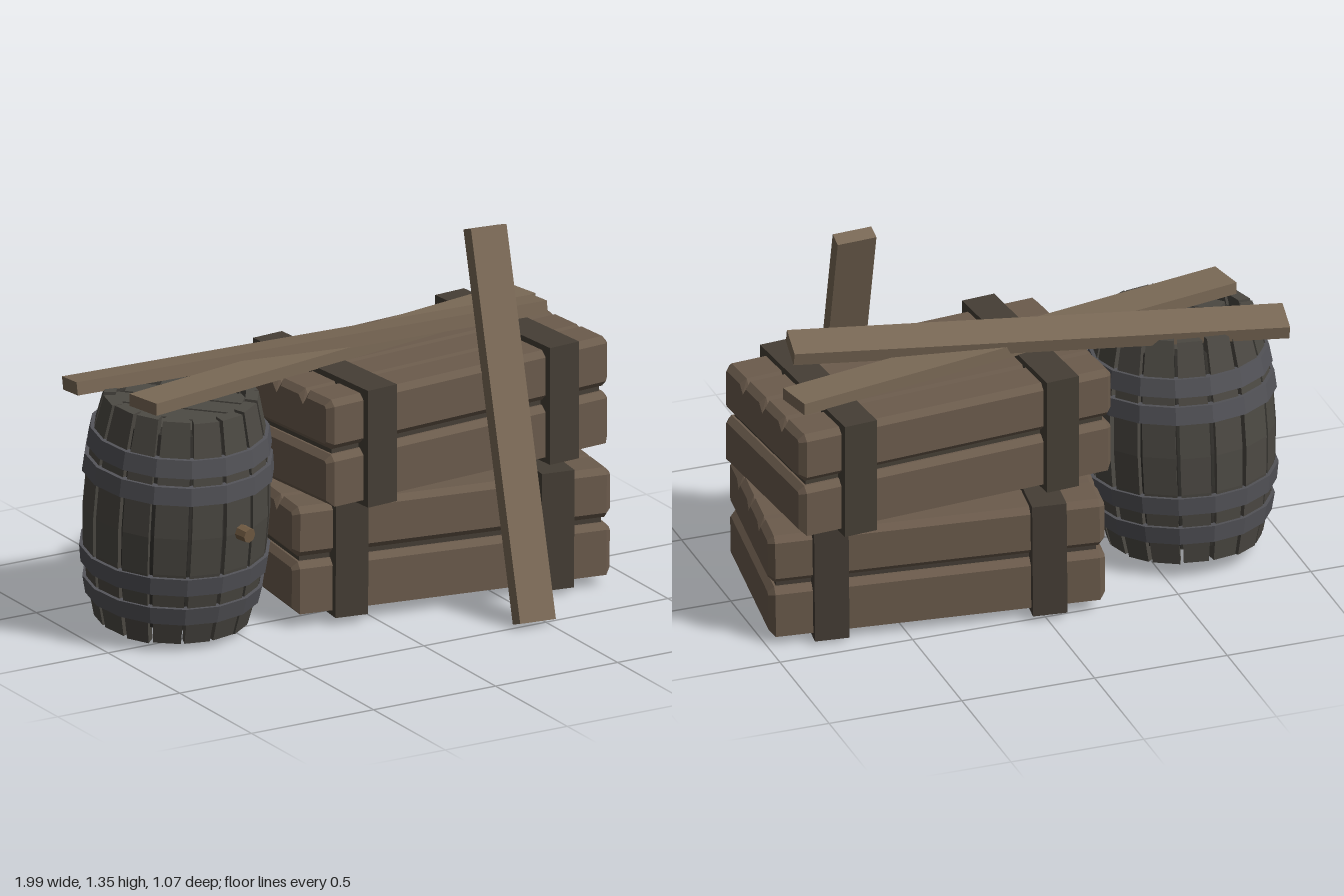
import * as THREE from 'three';

const mat = (color) => new THREE.MeshStandardMaterial({ color, flatShading: true });
const crateWood = mat(0x6b5b4c), darkWood = mat(0x453e35), boardWood = mat(0x7a6956);
const barrelWood = mat(0x4c4943), barrelDark = mat(0x33312d), iron = mat(0x535358), cork = mat(0x6f5a42);

function add(parent, name, geometry, material, x = 0, y = 0, z = 0) {
  const mesh = new THREE.Mesh(geometry, material);
  mesh.name = name;
  mesh.position.set(x, y, z);
  parent.add(mesh);
  return mesh;
}

// One tier of crate planking: chamfered profile run along x, with optional notches between lid planks
function tierGeometry(length, depth, y0, y1, chamferBottom, notches) {
  const h = depth / 2, c = 0.022, bevel = 0.022;
  const pts = chamferBottom
    ? [[-h, y0 + c], [-h + c, y0], [h - c, y0], [h, y0 + c]]
    : [[-h, y0], [h, y0]];
  pts.push([h, y1 - c], [h - c, y1]);
  for (const n of notches) pts.push([n + 0.014, y1], [n, y1 - 0.022], [n - 0.014, y1]);
  pts.push([-h + c, y1], [-h, y1 - c]);
  const shape = new THREE.Shape(pts.map(([x, y]) => new THREE.Vector2(x, y)));
  const geo = new THREE.ExtrudeGeometry(shape, {
    depth: length - 2 * bevel, bevelThickness: bevel, bevelSize: bevel, bevelOffset: -bevel, bevelSegments: 1,
  });
  geo.translate(0, 0, -length / 2 + bevel);
  return geo.rotateY(Math.PI / 2);
}

function crate(name) {
  const g = new THREE.Group();
  g.name = name;
  const L = 1.22, D = 0.645, H = 0.395;
  add(g, 'crateCore', new THREE.BoxGeometry(L - 0.06, H - 0.08, D - 0.06), darkWood);
  add(g, 'lowerPlanks', tierGeometry(L, D, -H / 2, -0.008, false, []), crateWood);
  add(g, 'upperPlanks', tierGeometry(L, D, 0.012, H / 2, true, [0.16, 0, -0.16]), crateWood);
  for (const x of [-0.4, 0.39]) {
    add(g, 'crateBand', new THREE.BoxGeometry(0.125, 0.437, 0.7), darkWood, x);
  }
  return g;
}

// Barrel outline radius at height y from the middle
const HALF = 0.43;
const barrelRadius = (y) => 0.335 - 0.06 * (y / HALF) ** 2;

function staveGeometry(angle, width, height, lift) {
  const geo = new THREE.BoxGeometry(1, 1, 1, 1, 6, 1);
  const p = geo.attributes.position;
  for (let i = 0; i < p.count; i++) {
    const y = p.getY(i) * height;
    const a = angle + p.getX(i) * width;
    const r = barrelRadius(y) + (p.getZ(i) > 0 ? lift : -0.045);
    p.setXYZ(i, Math.sin(a) * r, y, Math.cos(a) * r);
  }
  geo.computeVertexNormals();
  return geo;
}

function barrel() {
  const g = new THREE.Group();
  g.name = 'barrel';
  const N = 16, step = (Math.PI * 2) / N, headY = 0.37;

  // Dark inner body seen between the staves
  const body = [new THREE.Vector2(0, -headY)];
  for (let i = 0; i <= 6; i++) {
    const y = -headY + (i / 6) * 2 * headY;
    body.push(new THREE.Vector2(barrelRadius(y) - 0.02, y));
  }
  body.push(new THREE.Vector2(0, headY));
  add(g, 'barrelBody', new THREE.LatheGeometry(body, N), barrelDark);

  // Staves of slightly uneven width and height
  for (let i = 0; i < N; i++) {
    const width = step * (0.86 + 0.08 * Math.sin(i * 2.3));
    const height = 2 * HALF - 0.008 * (1 + Math.cos(i * 1.7));
    add(g, 'stave', staveGeometry((i + 0.5) * step, width, height, 0.003 * Math.sin(i * 3.1)), barrelWood);
  }

  // Iron hoops
  for (const y of [0.265, 0.165, -0.185, -0.305]) {
    const t = 0.033, lo = barrelRadius(y - t), hi = barrelRadius(y + t);
    const ring = [[lo - 0.015, y - t], [lo + 0.014, y - t], [hi + 0.014, y + t], [hi - 0.015, y + t], [lo - 0.015, y - t]];
    add(g, 'hoop', new THREE.LatheGeometry(ring.map(([r, h]) => new THREE.Vector2(r, h)), N), iron);
  }

  // Planked heads, recessed at both ends
  for (const s of [-1, 1]) {
    const head = new THREE.Group();
    head.name = s > 0 ? 'topHead' : 'bottomHead';
    head.position.y = s * headY;
    head.rotation.y = -0.7;
    g.add(head);
    for (let i = 0; i < 5; i++) {
      const z = (i - 2) * 0.095, edge = Math.abs(z) + 0.04;
      const chord = 2 * Math.sqrt(0.25 ** 2 - Math.min(edge, 0.235) ** 2);
      add(head, 'headPlank', new THREE.BoxGeometry(chord, 0.03, 0.083), barrelWood, 0, 0, z);
    }
  }

  // Bung on the front
  const bung = add(g, 'bung', new THREE.CylinderGeometry(0.027, 0.03, 0.06, 8), cork, 0.08, 0, 0.335);
  bung.rotation.set(Math.PI / 2, 0, -0.23);
  return g;
}

// Straight board between two end centres; 'up' hints at the direction its broad face looks
function board(parent, name, from, to, width, thickness, up) {
  const a = new THREE.Vector3(...from), b = new THREE.Vector3(...to);
  const dir = b.clone().sub(a);
  const length = dir.length();
  dir.normalize();
  const side = dir.clone().cross(new THREE.Vector3(...up)).normalize();
  const face = side.clone().cross(dir);
  const mesh = add(parent, name, new THREE.BoxGeometry(length, thickness, width), boardWood);
  mesh.quaternion.setFromRotationMatrix(new THREE.Matrix4().makeBasis(dir, face, side));
  mesh.position.copy(a).add(b).multiplyScalar(0.5);
}

export function createModel() {
  const model = new THREE.Group();
  model.name = 'cratesAndBarrel';

  const lower = crate('lowerCrate');
  lower.position.set(0.345, 0.242, -0.13);
  lower.rotation.set(-0.012, -0.13, -0.012);
  const upper = crate('upperCrate');
  upper.position.set(0.34, 0.683, -0.125);
  upper.rotation.y = 0.088;

  const cask = barrel();
  cask.position.set(-0.655, 0.47, -0.11);
  cask.rotation.x = 0.08;
  model.add(lower, upper, cask);

  // Loose boards: one leaning in front, two crossed on top
  board(model, 'leaningBoard', [0.45, 0.015, 0.505], [0.515, 1.345, 0.05], 0.145, 0.055, [0, 0.32, 0.95]);
  board(model, 'upperBoard', [-0.98, 0.908, -0.3], [0.785, 0.985, -0.025], 0.145, 0.048, [0, 1, -0.17]);
  board(model, 'lowerBoard', [-0.88, 0.922, 0.04], [0.875, 0.922, -0.305], 0.145, 0.045, [0, 1, 0]);
  return model;
}
